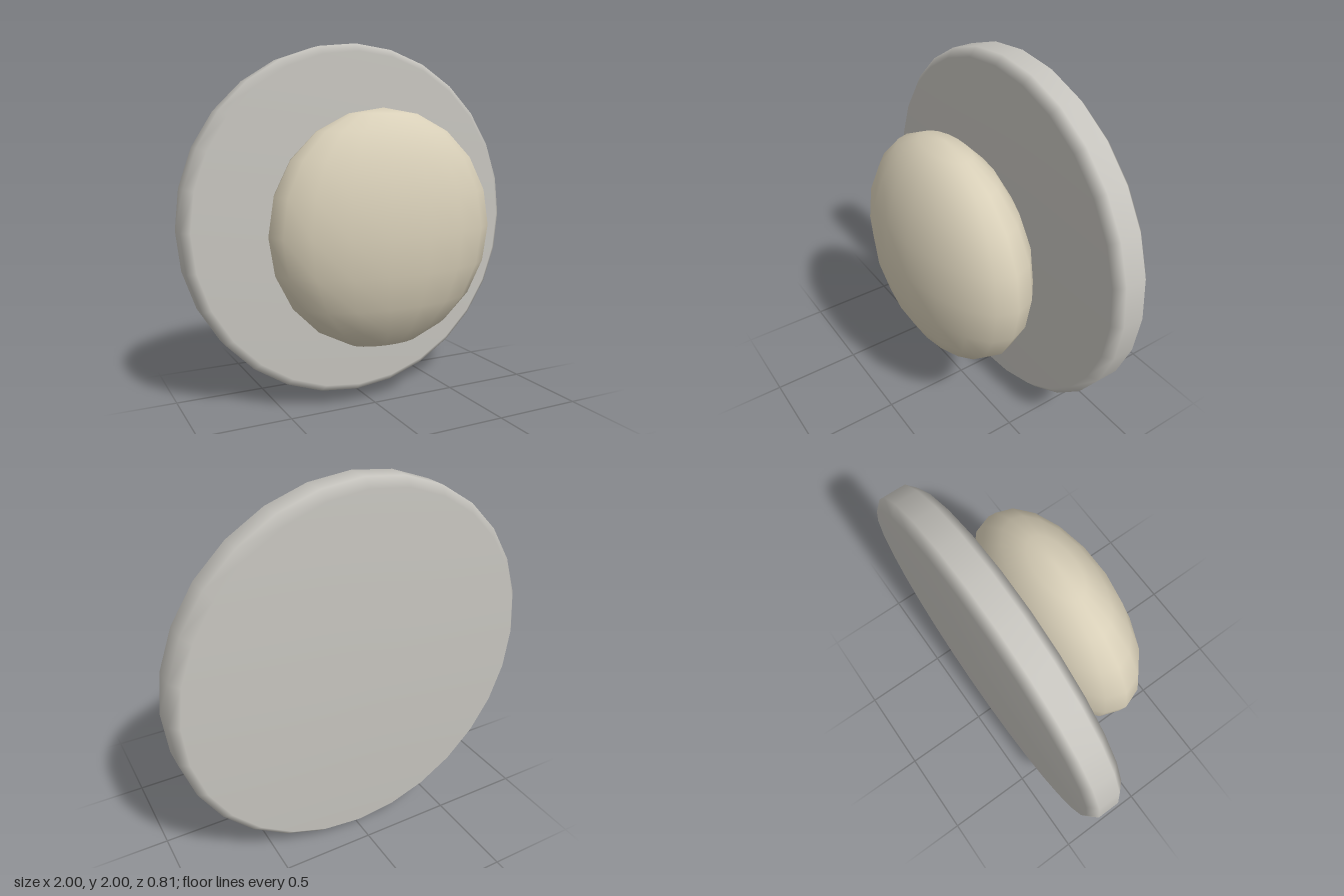
import * as THREE from 'three';

export function createModel() {
  const group = new THREE.Group();
  const plateMat = new THREE.MeshStandardMaterial({ color: 0xc6c4be });
  plateMat.name = 'warm grey';
  const knobMat = new THREE.MeshStandardMaterial({ color: 0xd8cfb8 });
  knobMat.name = 'cream';

  // Round back plate with chamfered rim, turned so its axis runs along z
  const bevel = 0.045;
  const back = -0.405, front = -0.195;
  const profile = [
    [0, back], [1 - bevel, back], [1, back + bevel],
    [1, front - bevel], [1 - bevel, front], [0, front],
  ].map(([r, z]) => new THREE.Vector2(r, z));
  const plate = new THREE.Mesh(new THREE.LatheGeometry(profile, 28), plateMat);
  plate.name = 'backPlate';
  plate.rotation.x = Math.PI / 2;
  plate.position.y = 1;
  group.add(plate);

  // Flattened round knob resting against the plate
  const knob = new THREE.Mesh(new THREE.SphereGeometry(1, 18, 10), knobMat);
  knob.name = 'knob';
  knob.scale.set(0.64, 0.64, 0.315);
  knob.position.set(0, 1, 0.095);
  group.add(knob);

  return group;
}
